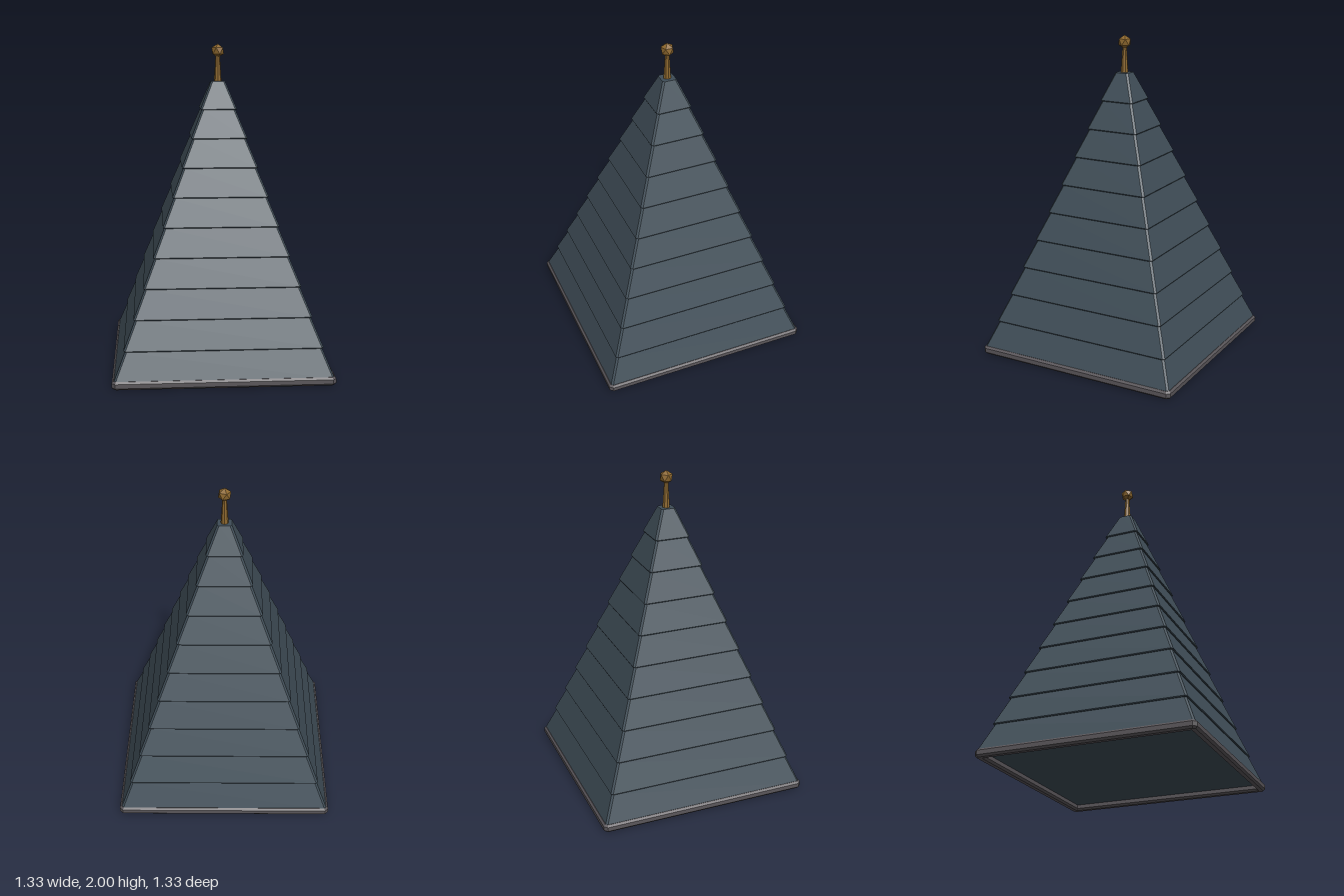
import * as THREE from 'three';

const slate = new THREE.MeshStandardMaterial({ name: 'slate', color: 0x3f4d57, flatShading: true });
const trim = new THREE.MeshStandardMaterial({ name: 'eaveTrim', color: 0x5a565a, flatShading: true });
const brass = new THREE.MeshStandardMaterial({ name: 'brass', color: 0x8c672e, flatShading: true });

// Corners of a square of half width h with clipped corners, counter-clockwise
function clippedSquare(h, c) {
  const k = h - c;
  return [[h, -k], [h, k], [k, h], [-k, h], [-h, k], [-h, -k], [-k, -h], [k, -h]];
}

// Solid through stacked clipped squares given as [halfWidth, y, clip], bottom first
function loftSquares(sections) {
  const pos = [];
  const rings = sections.map(([h, y, c]) => clippedSquare(h, c).map(([x, z]) => [x, y, z]));
  const tri = (a, b, c) => pos.push(...a, ...b, ...c);
  for (let i = 0; i < rings.length - 1; i++) {
    for (let j = 0; j < 8; j++) {
      const n = (j + 1) % 8, lo = rings[i], hi = rings[i + 1];
      tri(lo[j], hi[j], hi[n]);
      tri(lo[j], hi[n], lo[n]);
    }
  }
  const bottom = rings[0], top = rings[rings.length - 1];
  for (let j = 1; j < 7; j++) {
    tri(bottom[0], bottom[j], bottom[j + 1]);
    tri(top[0], top[j + 1], top[j]);
  }
  const g = new THREE.BufferGeometry();
  g.setAttribute('position', new THREE.Float32BufferAttribute(pos, 3));
  g.computeVertexNormals();
  return g;
}

export function createModel() {
  const model = new THREE.Group();
  model.name = 'spireRoof';
  const add = (name, geometry, material, y = 0) => {
    const m = new THREE.Mesh(geometry, material);
    m.name = name;
    m.position.y = y;
    model.add(m);
  };

  // Ten overlapping slate courses, each with a small lip at its foot
  const count = 10, base = 0.035, height = 0.1735, step = 0.0605;
  for (let i = 0; i < count; i++) {
    const h = 0.657 - step * i, y = base + height * i;
    add(`slateCourse${i + 1}`, loftSquares([
      [h - 0.003, y, 0.013],
      [h, y + 0.006, 0.011],
      [h - step + 0.004 - 0.012, y + height, 0.011],
    ]), slate);
  }

  // Eave trim: bevelled square frame around the foot
  const points = (h, c) => clippedSquare(h, c).map(([x, y]) => new THREE.Vector2(x, y));
  const frame = new THREE.Shape(points(0.656, 0.014));
  frame.holes.push(new THREE.Path(points(0.63, 0.004).reverse()));
  const eave = new THREE.ExtrudeGeometry(frame, {
    depth: 0.026, bevelEnabled: true, bevelThickness: 0.012, bevelSize: 0.011, bevelSegments: 1,
  });
  eave.rotateX(-Math.PI / 2);
  add('eaveTrim', eave, trim, 0.012);

  // Finial: tapered post with a faceted ball standing on its point
  add('finialPost', new THREE.CylinderGeometry(0.013, 0.024, 0.17, 8), brass, 1.85);
  const ball = new THREE.IcosahedronGeometry(0.043, 0);
  ball.rotateZ(Math.atan(2 / (1 + Math.sqrt(5))));
  add('finialBall', ball, brass, 1.957);

  return model;
}
